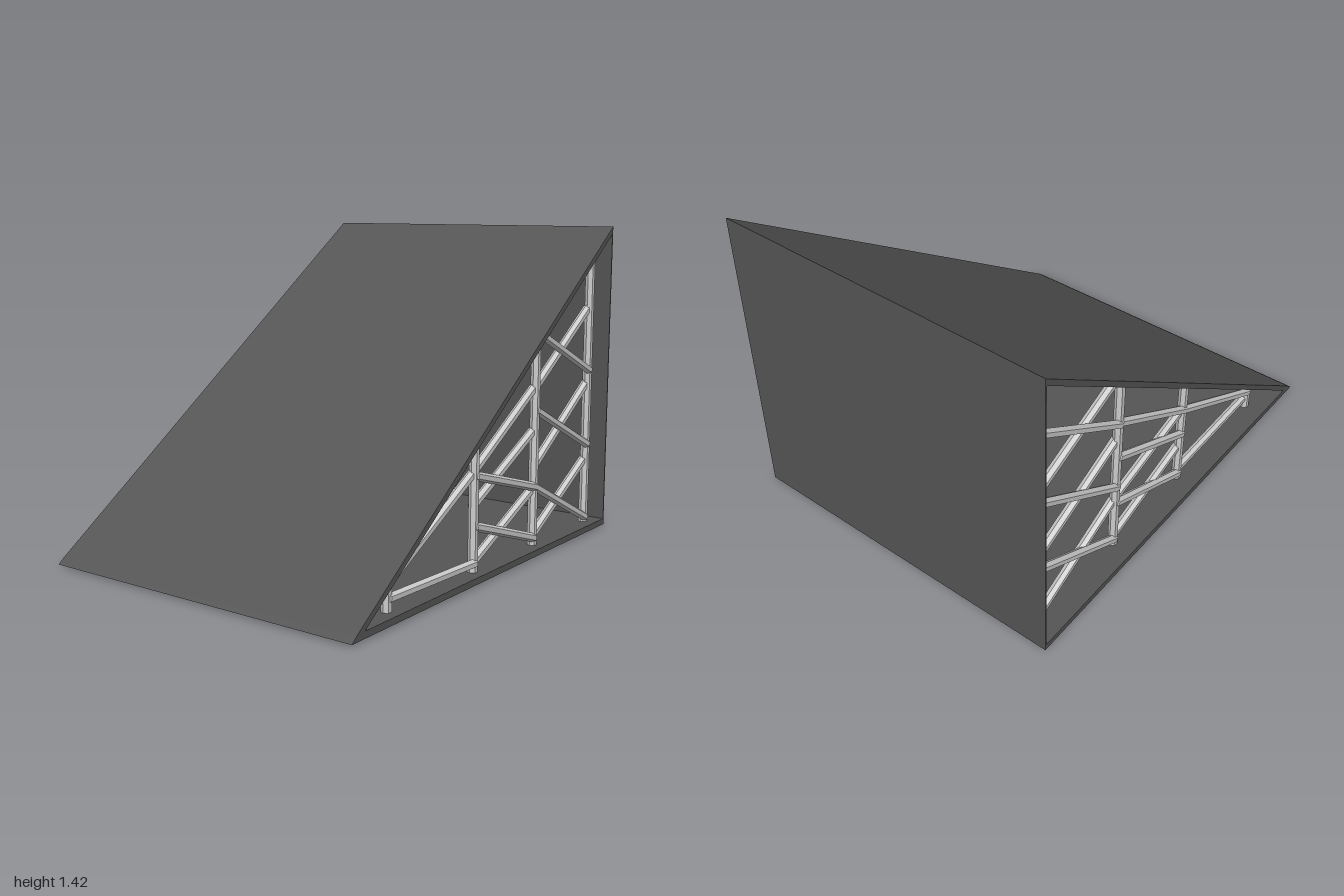
import * as THREE from 'three';

const panelMat = new THREE.MeshStandardMaterial({ color: 0x555555, flatShading: true });
const tubeMat = new THREE.MeshStandardMaterial({ color: 0xcccccc, flatShading: true });

// height of the ramp's upper surface at a given z
const rampY = (z) => 0.035 + 0.703 * (0.97 - z);

// six-sided tube between two points
function tube(name, a, b, r) {
  const dir = b.clone().sub(a);
  const mesh = new THREE.Mesh(new THREE.CylinderGeometry(r, r, dir.length(), 6), tubeMat);
  mesh.name = name;
  mesh.position.copy(a).add(b).multiplyScalar(0.5);
  mesh.quaternion.setFromUnitVectors(new THREE.Vector3(0, 1, 0), dir.normalize());
  return mesh;
}

// wedge shell: base plate, sloping deck and thin back wall, open at both sides
function createShell() {
  const v = (z, y) => new THREE.Vector2(-z, y);
  const shape = new THREE.Shape([v(1, 0.01), v(-1, 0.01), v(-1, rampY(-1)), v(0.97, rampY(0.97))]);
  shape.holes.push(new THREE.Path([v(0.923, 0.038), v(-0.994, 0.038), v(-0.994, rampY(-0.994) - 0.03)]));
  const geo = new THREE.ExtrudeGeometry(shape, { depth: 1.56, bevelEnabled: false });
  geo.translate(0, 0, -0.78).rotateY(Math.PI / 2);
  const shell = new THREE.Mesh(geo, panelMat);
  shell.name = 'rampShell';
  return shell;
}

// supporting frame: posts with crossing braces
function createTruss(x) {
  const truss = new THREE.Group();
  truss.name = 'sideTruss';
  truss.position.x = x;
  const posts = [0.71, 0.1, -0.4, -0.9];
  posts.forEach((z, i) => {
    const foot = i === 3 ? 0 : 0.02;
    truss.add(tube('post', new THREE.Vector3(0, foot, z), new THREE.Vector3(0, rampY(z) - 0.02, z), 0.021));
  });
  // each brace: [bay, height at front post, height at rear post]
  const braces = [
    [0, 0.13, 0.45], [0, 0.09, 0.075],
    [1, 0.45, 0.74], [1, 0.31, 0.55], [1, 0.07, 0.29],
    [1, 0.44, 0.3], [1, 0.23, 0.07],
    [2, 0.73, 1.05], [2, 0.38, 0.7], [2, 0.07, 0.34],
    [2, 0.98, 0.76], [2, 0.64, 0.41], [2, 0.3, 0.06],
  ];
  for (const [bay, y0, y1] of braces) {
    const dx = y1 > y0 ? -0.008 : 0.008;
    truss.add(tube('brace', new THREE.Vector3(dx, y0, posts[bay]), new THREE.Vector3(dx, y1, posts[bay + 1]), 0.02));
  }
  return truss;
}

export function createModel() {
  const model = new THREE.Group();
  model.name = 'ramp';
  model.add(createShell(), createTruss(0.72), createTruss(-0.68));
  return model;
}
